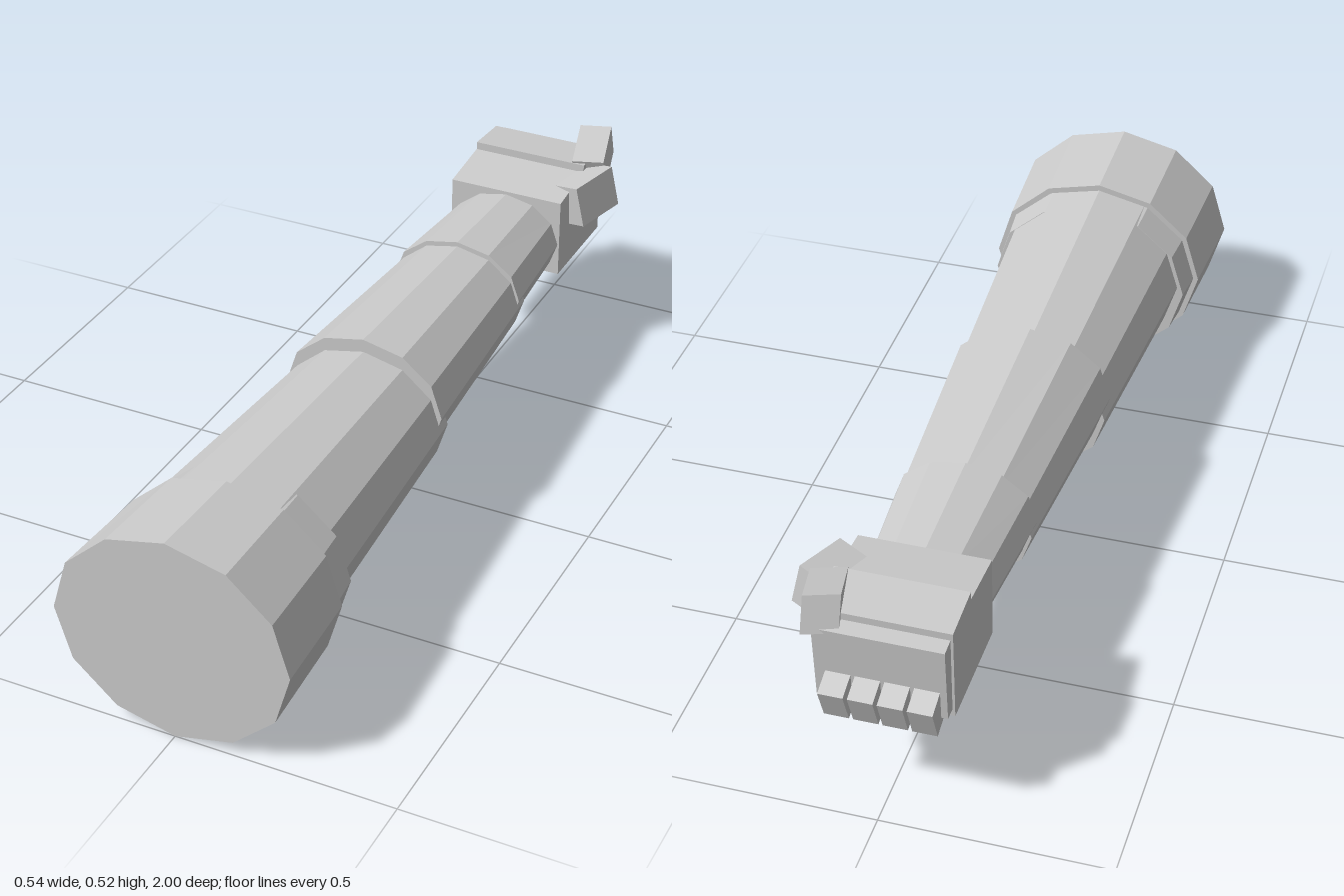
import * as THREE from 'three';

const material = new THREE.MeshStandardMaterial({ color: 0xcccccc, flatShading: true });

function add(group, name, geometry) {
  const mesh = new THREE.Mesh(geometry, material);
  mesh.name = name;
  group.add(mesh);
  return mesh;
}

// Tapered 12-sided tube along z; each end is [z, halfWidth, bottomY, topY].
function sleeve(front, back) {
  const g = new THREE.CylinderGeometry(1, 1, 1, 12).rotateX(Math.PI / 2);
  const p = g.attributes.position;
  for (let i = 0; i < p.count; i++) {
    const [z, rx, lo, hi] = p.getZ(i) > 0 ? front : back;
    p.setXYZ(i, p.getX(i) * rx, (lo + hi) / 2 + p.getY(i) * (hi - lo) / 2, z);
  }
  g.computeVertexNormals();
  return g;
}

// Slanted block spanned by three edges from one corner.
function block(corner, a, b, c) {
  let [u, v, w] = [a, b, c].map(e => new THREE.Vector3(...e));
  if (u.clone().cross(v).dot(w) < 0) [u, v] = [v, u];
  const m = new THREE.Matrix4().makeBasis(u, v, w).setPosition(...corner);
  const g = new THREE.BoxGeometry(1, 1, 1).translate(0.5, 0.5, 0.5).applyMatrix4(m);
  g.computeVertexNormals();
  return g;
}

// Side outline of [z, y] points, extruded across x.
function sideProfile(points, width, centreX = 0) {
  const shape = new THREE.Shape(points.map(([z, y]) => new THREE.Vector2(-z, y)));
  return new THREE.ExtrudeGeometry(shape, { depth: width, bevelEnabled: false })
    .translate(0, 0, -width / 2)
    .rotateY(Math.PI / 2)
    .translate(centreX, 0, 0);
}

export function createModel() {
  const model = new THREE.Group();
  model.name = 'arm';

  // Overlapping arm sections, from the shoulder to the wrist
  add(model, 'shoulderCuff', sleeve([1, 0.269, 0, 0.485], [0.75, 0.257, 0.017, 0.474]));
  add(model, 'shoulderRing', sleeve([0.79, 0.249, 0.03, 0.462], [0.67, 0.237, 0.042, 0.453]));
  add(model, 'upperArm', sleeve([0.79, 0.229, 0.069, 0.461], [0.09, 0.188, 0.11, 0.428]));
  add(model, 'forearm', sleeve([0.13, 0.191, 0.153, 0.461], [-0.41, 0.157, 0.185, 0.437]));
  add(model, 'wrist', sleeve([-0.37, 0.16, 0.211, 0.45], [-0.67, 0.138, 0.225, 0.437]));

  const hand = new THREE.Group();
  hand.name = 'hand';
  model.add(hand);

  // Palm with a raised plate over the knuckles
  add(hand, 'palm', sideProfile([
    [-0.655, 0.25], [-0.915, 0.25], [-0.92, 0.47], [-0.8, 0.48], [-0.8, 0.461], [-0.655, 0.445],
  ], 0.286));
  add(hand, 'knuckleSlab', sideProfile([
    [-0.9, 0.268], [-0.945, 0.268], [-0.957, 0.45], [-0.9, 0.455],
  ], 0.275));

  // Four fingers, each with an outer joint and a curled tip
  for (let i = 0; i < 4; i++) {
    const x = -0.097 + i * 0.0618;
    add(hand, 'fingerJoint', sideProfile([
      [-1, 0.32], [-0.935, 0.343], [-0.905, 0.263], [-0.97, 0.24],
    ], 0.053, x));
    add(hand, 'fingerTip', sideProfile([
      [-0.87, 0.21], [-0.925, 0.262], [-0.875, 0.3], [-0.825, 0.255],
    ], 0.053, x));
  }

  // Thumb on the left side of the hand, folded over the top
  add(hand, 'thumbBase', block([0.165, 0.468, -0.7],
    [0.043, 0.014, -0.12], [0.022, -0.097, 0], [-0.083, -0.02, -0.03]));
  add(hand, 'thumbTip', block([0.112, 0.485, -0.8],
    [0.072, 0, -0.025], [-0.029, 0.036, -0.122], [0, -0.08, -0.025]));

  return model;
}
